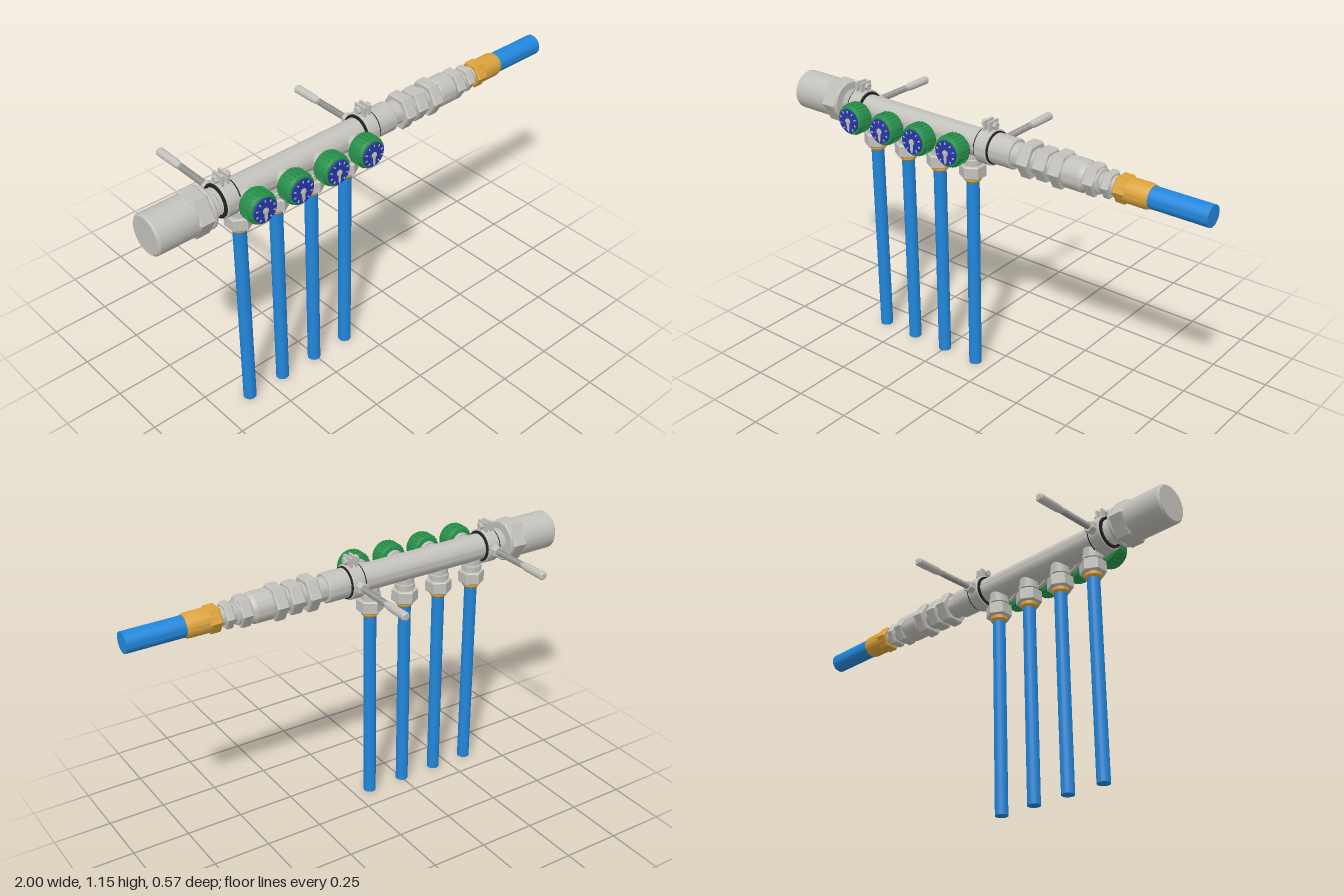
import * as THREE from 'three';
import { toCreasedNormals, mergeGeometries } from 'three/addons/utils/BufferGeometryUtils.js';

const mat = (name, color) => {
  const m = new THREE.MeshStandardMaterial({ color });
  m.name = name;
  return m;
};

const AXIS_Y = 1.044, AXIS_Z = 0.112;

// closed turned solid from [position, radius] pairs along +y
function turned(pairs, sides = 36) {
  const pts = [[pairs[0][0], 0], ...pairs, [pairs[pairs.length - 1][0], 0]];
  const geo = new THREE.LatheGeometry(pts.map(([p, r]) => new THREE.Vector2(r, p)), sides);
  return toCreasedNormals(geo, 0.5);
}
// bar with chamfered ends; six sides make a nut
const bar = (a, b, r, sides = 36, c = 0.005) =>
  turned([[a, r - c], [a + c, r], [b - c, r], [b, r - c]], sides);
const alongX = (g) => g.rotateZ(-Math.PI / 2);
const alongZ = (g) => g.rotateX(Math.PI / 2);

// ridged thread profile
function thread(a, b, rOut, rIn, count) {
  const pts = [], step = (b - a) / count;
  for (let i = 0; i < count; i++) {
    pts.push([a + i * step, rIn], [a + (i + 0.5) * step, rOut]);
  }
  pts.push([b, rIn]);
  return turned(pts, 20);
}

export function createModel() {
  const metal = mat('light metal', 0xc3c1bb);
  const steel = mat('thread steel', 0x8f8f8d);
  const blue = mat('pipe blue', 0x2287dc);
  const brass = mat('brass', 0xdba33a);
  const green = mat('handwheel green', 0x26904a);
  const navy = mat('dial blue', 0x2638a8);
  const rubber = mat('black rubber', 0x222226);

  const root = new THREE.Group();
  root.name = 'manifold';
  const add = (parent, name, geo, material, x = 0, y = 0, z = 0) => {
    const m = new THREE.Mesh(geo, material);
    m.name = name;
    m.position.set(x, y, z);
    parent.add(m);
    return m;
  };

  // main run of fittings along x
  const run = new THREE.Group();
  run.name = 'mainRun';
  run.position.set(0, AXIS_Y, AXIS_Z);
  root.add(run);
  const inRun = (name, geo, material = metal) => add(run, name, alongX(geo), material);

  inRun('endCap', bar(-1, -0.82, 0.083, 48, 0.008));
  inRun('endNut', bar(-0.83, -0.762, 0.094, 6, 0.006));
  inRun('endWasher', bar(-0.764, -0.748, 0.086, 48, 0.004));
  inRun('endThread', thread(-0.75, -0.69, 0.058, 0.042, 3));
  inRun('manifoldPipe', turned([[-0.70, 0.057], [0.05, 0.057]], 48));
  inRun('reducerSleeve', bar(0.04, 0.145, 0.062, 48));
  inRun('connectorCore', turned([[0.14, 0.05], [0.54, 0.05], [0.545, 0.038], [0.62, 0.038]]));
  // [name, start, end, radius]
  [['nutA', 0.187, 0.24, 0.077], ['nutB', 0.258, 0.315, 0.070], ['nutC', 0.335, 0.388, 0.077],
    ['nutD', 0.485, 0.532, 0.066], ['nutE', 0.558, 0.594, 0.056]]
    .forEach(([n, a, b, r]) => inRun(n, bar(a, b, r, 6, 0.006)));
  inRun('unionBody', turned([[0.385, 0.058], [0.395, 0.064], [0.468, 0.064], [0.485, 0.054]], 48));
  inRun('brassNut', bar(0.612, 0.662, 0.057, 6), brass);
  inRun('brassSleeve', turned([[0.63, 0.05], [0.74, 0.05], [0.756, 0.046]], 48), brass);
  inRun('supplyPipe', turned([[0.72, 0.043], [1, 0.043]], 40), blue);

  // pipe clamps with rear threaded rods
  for (const x of [-0.667, 0.012]) {
    const clamp = new THREE.Group();
    clamp.name = 'pipeClamp';
    clamp.position.set(x, AXIS_Y, AXIS_Z);
    root.add(clamp);
    add(clamp, 'rubberLining', alongX(turned([[-0.035, 0.067], [0.035, 0.067]], 48)), rubber);
    add(clamp, 'clampBand', alongX(bar(-0.028, 0.028, 0.074, 48, 0.003)), metal);
    for (const s of [-1, 1]) {
      add(clamp, 'clampEar', new THREE.BoxGeometry(0.01, 0.05, 0.056), metal, s * 0.012, 0.085, 0);
    }
    add(clamp, 'clampBolt', alongX(mergeGeometries([
      turned([[-0.032, 0.008], [0.032, 0.008]], 16),
      bar(-0.034, -0.02, 0.016, 6, 0.002), bar(0.02, 0.034, 0.016, 6, 0.002)])), metal, 0, 0.092, 0);
    const rod = new THREE.Group();
    rod.name = 'mountingRod';
    rod.rotation.x = -Math.PI / 2;
    clamp.add(rod);
    add(rod, 'rodNut', bar(0.065, 0.1, 0.026, 6, 0.003), metal);
    add(rod, 'threadedRod', thread(0.095, 0.26, 0.014, 0.0105, 20), steel);
    add(rod, 'rodPlug', turned([[0.25, 0.011], [0.285, 0.017], [0.388, 0.018], [0.395, 0.013]], 24), metal);
  }

  // outlets: valve, handwheel and drop pipe
  for (let i = 0; i < 4; i++) {
    const x = -0.602 + i * 0.174;
    const outlet = new THREE.Group();
    outlet.name = 'outlet';
    outlet.position.set(x, 0, AXIS_Z);
    root.add(outlet);
    add(outlet, 'dropPipe', turned([[0, 0.027], [0.885, 0.027]], 32), blue);
    add(outlet, 'brassFerrule', turned([[0.868, 0.03], [0.876, 0.036], [0.895, 0.036]], 32), brass);
    add(outlet, 'outletNut', bar(0.89, 0.944, 0.056, 6, 0.004), metal);
    add(outlet, 'outletNeck', turned([[0.94, 0.037], [0.952, 0.037], [0.954, 0.043],
      [0.972, 0.043], [0.974, 0.039], [1.02, 0.039]], 32), metal);

    const valve = new THREE.Group();
    valve.name = 'valve';
    valve.position.y = AXIS_Y;
    outlet.add(valve);
    add(valve, 'valveNeck', alongZ(turned([[0.03, 0.036], [0.066, 0.036], [0.066, 0.041], [0.09, 0.041]], 32)), metal);
    add(valve, 'handwheel', alongZ(turned([[0.084, 0.052], [0.087, 0.059], [0.096, 0.063],
      [0.146, 0.063], [0.155, 0.06], [0.158, 0.055]], 48)), green);
    const grips = [];
    for (let k = 0; k < 24; k++) {
      grips.push(new THREE.BoxGeometry(0.006, 0.006, 0.045).translate(0, 0.063, 0.121).rotateZ(k * Math.PI / 12));
    }
    add(valve, 'gripRibs', mergeGeometries(grips), green);
    add(valve, 'dial', alongZ(turned([[0.15, 0.05], [0.165, 0.05]], 40)), navy);

    // pointer, scale marks and spindle on the dial face
    const marks = [new THREE.BoxGeometry(0.012, 0.036, 0.004).translate(0, -0.02, 0.166)];
    for (let k = 0; k < 10; k++) {
      marks.push(new THREE.BoxGeometry(0.005, 0.01, 0.004).translate(0, 0.041, 0.165).rotateZ(k * Math.PI / 5));
    }
    add(valve, 'dialMarks', mergeGeometries(marks), metal);
    add(valve, 'spindle', alongZ(turned([[0.16, 0.013], [0.168, 0.013], [0.168, 0.006], [0.173, 0.006]], 20)), metal);
  }
  return root;
}
